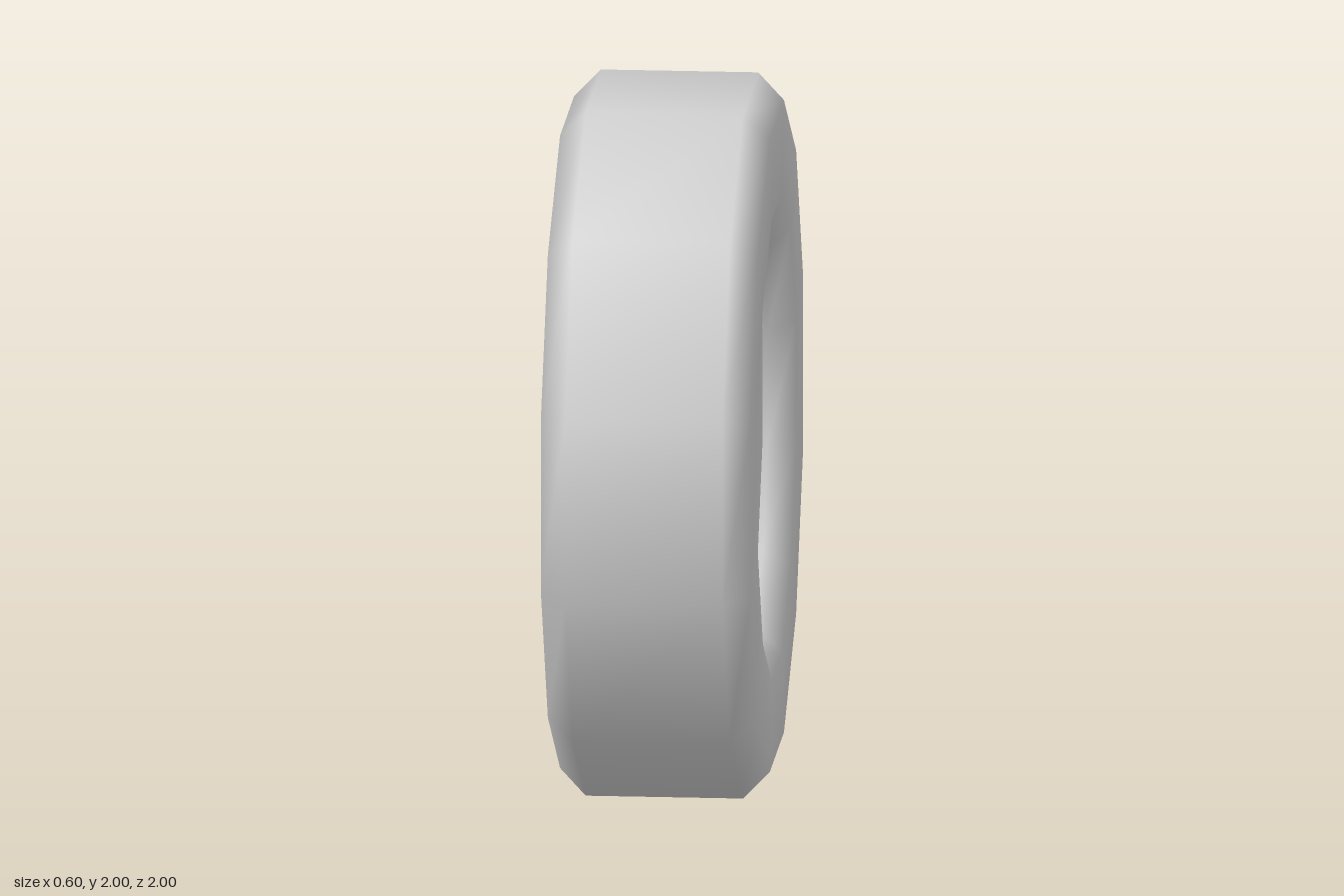
import * as THREE from 'three';

const SIDES = 12;
const HALF_STEP = Math.PI / SIDES;
const OUTER = 1, INNER = 0.6, HALF_WIDTH = 0.3, BEVEL = 0.075;

// corner radius of a twelve-sided polygon from its flat-to-centre distance
const corner = (flat) => flat / Math.cos(HALF_STEP);

export function createModel() {
  const group = new THREE.Group();
  group.name = 'bevelledWheel';
  const material = new THREE.MeshStandardMaterial({ color: 0xcccccc, side: THREE.DoubleSide });

  // ring: bevelled rectangular section swept around the axle (starts mid inner wall)
  const w = HALF_WIDTH, b = BEVEL;
  const profile = [
    [INNER, 0], [INNER, -w + b], [INNER + b, -w],
    [OUTER - b, -w], [OUTER, -w + b], [OUTER, w - b], [OUTER - b, w],
    [INNER + b, w], [INNER, w - b], [INNER, 0],
  ].map(([r, x]) => new THREE.Vector2(corner(r), x));
  const ring = new THREE.Mesh(new THREE.LatheGeometry(profile, SIDES, HALF_STEP), material);
  ring.name = 'ring';
  ring.rotation.z = -Math.PI / 2;
  ring.position.y = 1;
  group.add(ring);

  // thin disc closing the bore near the +x side
  const disc = new THREE.Mesh(new THREE.CircleGeometry(corner(INNER), SIDES, HALF_STEP), material);
  disc.name = 'hubDisc';
  disc.rotation.y = Math.PI / 2;
  disc.position.set(0.21, 1, 0);
  group.add(disc);

  return group;
}
